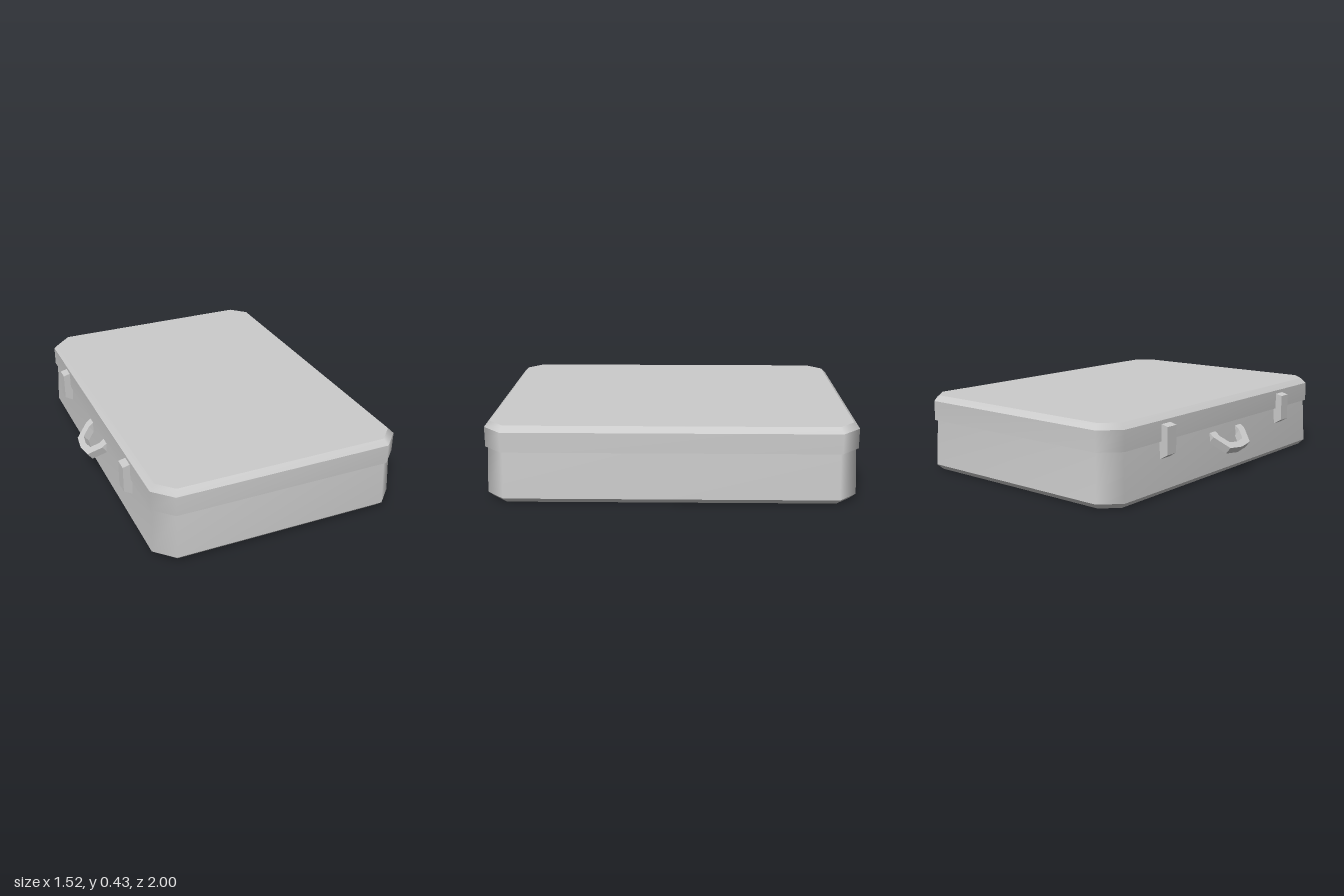
import * as THREE from 'three';

const CX = 0.0475, HX = 0.7115, HZ = 1;
const grey = new THREE.MeshStandardMaterial({ color: 0xcccccc });

// Chamfered rectangle at height y, drawn in from the full outline by inset
const ring = (y, inset, chamfer) => {
  const x = HX - inset, z = HZ - inset, c = chamfer;
  return [[x - c, z], [x, z - c], [x, c - z], [x - c, -z], [c - x, -z], [-x, c - z], [-x, z - c], [c - x, z]]
    .map(([px, pz]) => [px + CX, y, pz]);
};
const centre = (y) => Array.from({ length: 8 }, () => [CX, y, 0]);

// Band between two rings: smooth round the corners, sharp at its borders
function band(low, high) {
  const n = low.length, index = [];
  for (let i = 0; i < n; i++) {
    const j = (i + 1) % n;
    index.push(i, j, n + j, i, n + j, n + i);
  }
  const geo = new THREE.BufferGeometry();
  geo.setAttribute('position', new THREE.Float32BufferAttribute([...low, ...high].flat(), 3));
  geo.setIndex(index);
  geo.computeVertexNormals();
  return geo;
}

function shell(name, rings) {
  const group = new THREE.Group();
  group.name = name;
  for (let i = 0; i < rings.length - 1; i++) {
    const mesh = new THREE.Mesh(band(rings[i], rings[i + 1]), grey);
    mesh.name = name + 'Band' + i;
    group.add(mesh);
  }
  return group;
}

const polygon = (points) => new THREE.Shape(points.map(([x, y]) => new THREE.Vector2(x, y)));

export function createModel() {
  const model = new THREE.Group();
  model.name = 'case';

  // Tapered lower half with bevelled base
  model.add(shell('caseBody', [centre(0), ring(0, 0.03, 0.085), ring(0.03, 0, 0.1), ring(0.29, 0.013, 0.095)]));

  // Lid overhanging the body, bevelled at the top
  model.add(shell('lid', [ring(0.29, 0.013, 0.095), ring(0.29, 0, 0.1), ring(0.4, 0, 0.1), ring(0.43, 0.03, 0.085), centre(0.43)]));

  // Two latches with slanted ends
  const latchGeo = new THREE.ExtrudeGeometry(
    polygon([[-0.64, 0.19], [-0.64, 0.383], [-0.665, 0.38], [-0.703, 0.37], [-0.703, 0.223], [-0.655, 0.195]]),
    { depth: 0.074, bevelEnabled: false });
  for (const z of [-0.572, 0.565]) {
    const latch = new THREE.Mesh(latchGeo, grey);
    latch.name = 'latch';
    latch.position.z = z - 0.037;
    model.add(latch);
  }

  // Angular carrying handle, tilted down and away from the side
  const handleGeo = new THREE.ExtrudeGeometry(
    polygon([[-0.157, -0.03], [-0.157, 0.037], [-0.1, 0.133], [0, 0.147], [0.1, 0.133], [0.157, 0.037], [0.157, -0.03],
      [0.1, -0.03], [0.1, 0.04], [0.065, 0.096], [0, 0.107], [-0.065, 0.096], [-0.1, 0.04], [-0.1, -0.03]]),
    { depth: 0.046, bevelEnabled: false });
  const along = new THREE.Vector3(-0.78, -0.626, 0).normalize();
  const across = new THREE.Vector3(0, 0, 1);
  const through = new THREE.Vector3().crossVectors(across, along);
  handleGeo.applyMatrix4(new THREE.Matrix4().makeBasis(across, along, through).setPosition(-0.65, 0.257, -0.003));
  const handle = new THREE.Mesh(handleGeo, grey);
  handle.name = 'handle';
  model.add(handle);

  return model;
}
